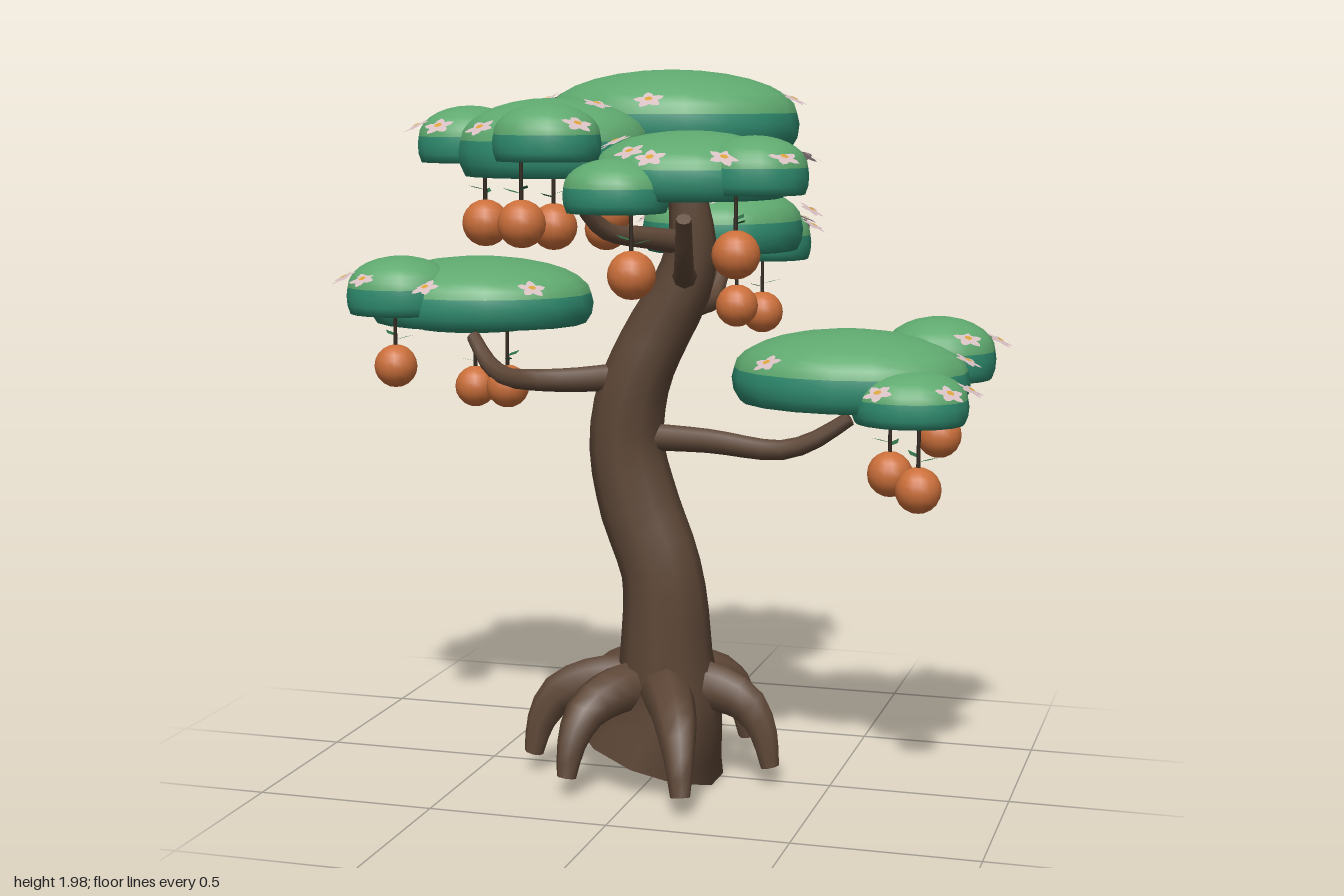
import * as THREE from 'three';
import { mergeGeometries } from 'three/addons/utils/BufferGeometryUtils.js';

const mat = (name, color, side = THREE.FrontSide) => {
  const m = new THREE.MeshStandardMaterial({ color, side });
  m.name = name;
  return m;
};

export function createModel() {
  const bark = mat('bark', 0x5e4737);
  const leafTop = mat('leafTop', 0x5fa96f);
  const leafUnder = mat('leafUnder', 0x2f8c6f);
  const fruitRed = mat('fruitRed', 0xcb6f3a);
  const fruitGold = mat('fruitGold', 0xcf8a47);
  const stemBrown = mat('stemBrown', 0x33291f);
  const leafletGreen = mat('leafletGreen', 0x2f6b45, THREE.DoubleSide);
  const petalPink = mat('petalPink', 0xd8c0c2, THREE.DoubleSide);
  const pollen = mat('pollen', 0xd9a13c, THREE.DoubleSide);

  const tree = new THREE.Group();
  tree.name = 'fruitTree';
  const add = (parent, name, geo, material, x = 0, y = 0, z = 0) => {
    const m = new THREE.Mesh(geo, material);
    m.name = name;
    m.position.set(x, y, z);
    parent.add(m);
    return m;
  };

  // Tapered, capped tube through [x, y, z, radius] points
  function limb(name, pts, steps, sides) {
    const curve = new THREE.CatmullRomCurve3(pts.map(p => new THREE.Vector3(p[0], p[1], p[2])));
    const tube = new THREE.TubeGeometry(curve, steps, 1, sides);
    const pos = tube.attributes.position, v = new THREE.Vector3();
    const caps = [];
    for (let i = 0; i <= steps; i++) {
      const t = curve.getUtoTmapping(i / steps) * (pts.length - 1);
      const k = Math.min(Math.floor(t), pts.length - 2);
      const r = THREE.MathUtils.lerp(pts[k][3], pts[k + 1][3], t - k);
      const c = curve.getPointAt(i / steps);
      const ring = [];
      for (let j = 0; j <= sides; j++) {
        const n = i * (sides + 1) + j;
        v.fromBufferAttribute(pos, n).sub(c).multiplyScalar(r).add(c);
        pos.setXYZ(n, v.x, v.y, v.z);
        ring.push(v.clone());
      }
      if (i === 0 || i === steps)
        for (let j = 0; j < sides; j++)
          caps.push(...(i === 0 ? [c, ring[j], ring[j + 1]] : [c, ring[j + 1], ring[j]]));
    }
    const cap = new THREE.BufferGeometry().setFromPoints(caps);
    cap.computeVertexNormals();
    const body = tube.toNonIndexed();
    body.deleteAttribute('uv');
    return add(tree, name, mergeGeometries([body, cap]), bark);
  }

  // Leaning S-shaped trunk with a slanted, flared foot
  limb('trunk', [
    [-0.01, 0.085, 0.035, 0.215], [0.032, 0.21, 0.03, 0.16], [0.032, 0.36, 0.03, 0.132], [0.02, 0.6, 0.03, 0.113],
    [-0.05, 0.8, 0.025, 0.113], [-0.085, 0.96, 0.025, 0.105], [-0.07, 1.1, 0.03, 0.1], [-0.035, 1.2, 0.03, 0.093],
    [0.015, 1.3, 0.025, 0.09], [0.07, 1.4, 0.025, 0.084], [0.1, 1.5, 0.025, 0.074], [0.1, 1.6, 0.028, 0.058],
    [0.08, 1.7, 0.03, 0.05]], 28, 10);

  // Arching roots, given by their foot positions
  [[0.335, 0.035], [0.17, 0.375], [-0.18, 0.29], [-0.345, 0.09], [-0.25, -0.19], [0.02, -0.34],
    [0.2, -0.25]].forEach(([x, z]) => {
    const at = (f, y, r) => [0.01 + (x - 0.01) * f, y, 0.025 + (z - 0.025) * f, r];
    limb('root', [at(0.15, 0.29, 0.075), at(0.5, 0.285, 0.07), at(0.79, 0.245, 0.058), at(0.94, 0.165, 0.041),
      at(1, 0.07, 0.027)], 9, 8);
  });

  // Branches
  [
    [[-0.06, 0.99, 0.03, 0.04], [0.15, 0.985, 0.03, 0.034], [0.36, 0.97, 0.04, 0.028], [0.45, 1.0, 0.04, 0.025], [0.55, 1.065, 0.03, 0.02]],
    [[-0.06, 1.16, 0.03, 0.04], [-0.22, 1.15, 0.1, 0.034], [-0.33, 1.148, 0.115, 0.03], [-0.43, 1.145, 0.05, 0.028], [-0.51, 1.17, -0.02, 0.025], [-0.58, 1.24, -0.08, 0.02]],
    [[0.05, 1.34, 0.0, 0.04], [0.06, 1.335, -0.18, 0.03], [0.07, 1.345, -0.32, 0.026], [0.08, 1.44, -0.43, 0.02]],
    [[0.1, 1.53, 0.03, 0.036], [0.02, 1.55, 0.14, 0.03], [-0.08, 1.58, 0.25, 0.026], [-0.13, 1.67, 0.33, 0.02]],
    [[0.09, 1.44, 0.05, 0.036], [0.13, 1.46, 0.2, 0.03], [0.16, 1.49, 0.31, 0.026], [0.19, 1.62, 0.42, 0.02]],
  ].forEach(p => limb('branch', p, 12, 8));

  // Leaf pad: flat dark underside and rim, pale dome above
  const rim = 0.46, rimRadius = 0.98;
  const V2 = (x, y) => new THREE.Vector2(x, y);
  const underGeo = new THREE.LatheGeometry(
    [V2(0, 0.06), V2(0.6, 0.04), V2(0.93, 0), V2(0.985, 0.15), V2(1, 0.32), V2(rimRadius, rim)], 18);
  const dome = [];
  for (let i = 0; i <= 7; i++) {
    const a = i / 7 * Math.PI / 2;
    dome.push(V2(Math.max(0, rimRadius * Math.cos(a)), rim + (1 - rim) * Math.sin(a)));
  }
  const domeGeo = new THREE.LatheGeometry(dome, 18);

  // Five-petalled blossom, lying in its own xy plane
  const star = new THREE.Shape();
  for (let i = 0; i < 5; i++) {
    const P = (r, d) => [r * Math.cos(i * Math.PI * 0.4 + d), r * Math.sin(i * Math.PI * 0.4 + d)];
    if (i === 0) star.moveTo(...P(0.023, -0.63));
    star.lineTo(...P(0.033, -0.32));
    star.lineTo(...P(0.042, 0));
    star.lineTo(...P(0.033, 0.32));
    star.lineTo(...P(0.023, 0.63));
  }
  const petalGeo = new THREE.ShapeGeometry(star);
  const heartGeo = new THREE.CircleGeometry(0.011, 6);
  function blossom(x, y, z, normal, spin) {
    const g = new THREE.Group();
    g.name = 'blossom';
    add(g, 'petals', petalGeo, petalPink);
    add(g, 'blossomHeart', heartGeo, pollen, 0, 0, 0.004);
    g.position.set(x, y, z);
    g.quaternion.setFromUnitVectors(new THREE.Vector3(0, 0, 1), normal.normalize());
    g.rotateZ(spin);
    tree.add(g);
  }

  // Clusters: pads as [x, z, radiusX, radiusZ, bottom, top], blossoms as [x, z]
  const clusters = {
    crown: [
      [[0.04, 0.005, 0.35, 0.305, 1.785, 2.0], [-0.12, -0.245, 0.14, 0.14, 1.79, 1.965], [-0.15, -0.215, 0.175, 0.17, 1.715, 1.84]],
      [[-0.33, -0.21], [-0.28, -0.26], [-0.32, -0.1], [-0.28, -0.16], [-0.26, -0.13], [0.015, -0.28], [0.385, 0.025], [0.07, 0.33], [-0.27, 0.15]]],
    leftClump: [
      [[-0.59, -0.17, 0.335, 0.285, 1.275, 1.465], [-0.77, -0.005, 0.16, 0.145, 1.31, 1.475], [-0.71, -0.42, 0.185, 0.165, 1.227, 1.39]],
      [[-0.88, -0.45], [-0.59, -0.53], [-0.42, -0.4], [-0.93, -0.08], [-0.91, 0.08], [-0.83, 0.13], [-0.65, 0.11], [-0.35, 0.06]]],
    rightClump: [
      [[0.55, 0.03, 0.325, 0.265, 1.11, 1.307], [0.765, -0.125, 0.155, 0.16, 1.165, 1.333], [0.74, 0.185, 0.155, 0.145, 1.083, 1.225]],
      [[0.51, -0.25], [0.72, -0.28], [0.88, -0.23], [0.93, -0.12], [0.86, -0.015], [0.87, 0.05], [0.9, 0.19], [0.86, 0.28], [0.68, 0.32], [0.37, 0.25]]],
    frontRightClump: [
      [[0.2, 0.4, 0.255, 0.27, 1.675, 1.845], [0.395, 0.495, 0.135, 0.135, 1.69, 1.836], [0.065, 0.6, 0.135, 0.135, 1.645, 1.78]],
      [[0.49, 0.38], [0.53, 0.46], [0.49, 0.585], [0.35, 0.63], [0.18, 0.69], [0.11, 0.63], [0.04, 0.52], [-0.005, 0.51]]],
    frontLeftClump: [
      [[-0.18, 0.36, 0.25, 0.255, 1.725, 1.926], [-0.42, 0.34, 0.14, 0.14, 1.757, 1.905], [-0.125, 0.575, 0.14, 0.13, 1.77, 1.915]],
      [[-0.53, 0.26], [-0.46, 0.2], [-0.36, 0.205], [-0.54, 0.415], [-0.45, 0.49], [-0.29, 0.61], [-0.04, 0.425], [-0.015, 0.66]]],
    backClump: [
      [[0.065, -0.45, 0.235, 0.275, 1.48, 1.67], [-0.07, -0.59, 0.13, 0.145, 1.475, 1.62], [0.17, -0.58, 0.13, 0.14, 1.445, 1.6]],
      [[-0.21, -0.64], [-0.09, -0.72], [0.06, -0.69], [0.14, -0.71], [0.19, -0.69], [0.25, -0.71], [0.27, -0.64], [0.31, -0.58], [0.34, -0.41], [-0.18, -0.51], [0.06, -0.3], [0.09, -0.24]]],
  };
  for (const [name, [pads, blossoms]] of Object.entries(clusters)) {
    for (const [x, z, rx, rz, y0, y1] of pads) {
      const g = new THREE.Group();
      g.name = name;
      add(g, 'padUnderside', underGeo, leafUnder);
      add(g, 'padDome', domeGeo, leafTop);
      g.position.set(x, y0, z);
      g.scale.set(rx, y1 - y0, rz);
      tree.add(g);
    }
    // Each blossom rests on the highest pad below it, or beside the nearest rim
    blossoms.forEach(([bx, bz], i) => {
      const spots = pads.map(([x, z, rx, rz, y0, y1]) => {
        const u = (bx - x) / rx, w = (bz - z) / rz, d = Math.hypot(u, w);
        const lift = rim + (1 - rim) * Math.max(0.25, Math.sqrt(Math.max(0, 1 - d * d)));
        return { u, w, y: y0 + (y1 - y0) * lift + 0.008, rank: d < 1 ? y1 : -d };
      });
      const s = spots.sort((a, b) => b.rank - a.rank)[0];
      blossom(bx, s.y, bz, new THREE.Vector3(s.u * 0.5, 1, s.w * 0.5), i * 1.7);
    });
  }

  // Hanging fruit, red towards the front and golden behind, with stem and leaflets
  const redGeo = new THREE.SphereGeometry(0.061, 10, 10, 0, Math.PI * 1.2);
  const goldGeo = new THREE.SphereGeometry(0.061, 7, 10, Math.PI * 1.2, Math.PI * 0.8);
  const stemGeo = new THREE.CylinderGeometry(0.005, 0.006, 0.11, 5);
  const leaflet = new THREE.Shape([V2(0, 0), V2(0.025, 0.011), V2(0.055, 0), V2(0.025, -0.011)]);
  const leafletGeo = new THREE.ShapeGeometry(leaflet).rotateX(-Math.PI / 2).rotateZ(0.25);
  [
    [0.78, 0.92, 0.27], [0.685, 0.94, 0.16], [0.785, 1.02, -0.025], [-0.645, 1.07, -0.265], [-0.45, 1.11, -0.01],
    [-0.75, 1.17, 0.09], [0, 1.345, -0.5], [0.15, 1.33, -0.29], [0.17, 1.29, -0.52], [0.37, 1.545, 0.585],
    [0.125, 1.495, 0.665], [-0.33, 1.605, 0.47], [-0.17, 1.615, 0.64], [-0.16, 1.595, 0.42], [-0.08, 1.62, 0.195],
    [-0.17, 1.56, -0.06], [-0.16, 1.65, -0.105],
  ].forEach(([x, y, z], i) => {
    const g = new THREE.Group();
    g.name = 'fruit';
    add(g, 'fruitFront', redGeo, fruitRed);
    add(g, 'fruitBack', goldGeo, fruitGold);
    add(g, 'fruitStem', stemGeo, stemBrown, 0, 0.11, 0);
    add(g, 'leaflet', leafletGeo, leafletGreen, 0, 0.075, 0).rotation.y = i * 1.3;
    add(g, 'leaflet', leafletGeo, leafletGreen, 0, 0.085, 0).rotation.y = i * 1.3 + 2.3;
    g.position.set(x, y, z);
    tree.add(g);
  });

  return tree;
}
